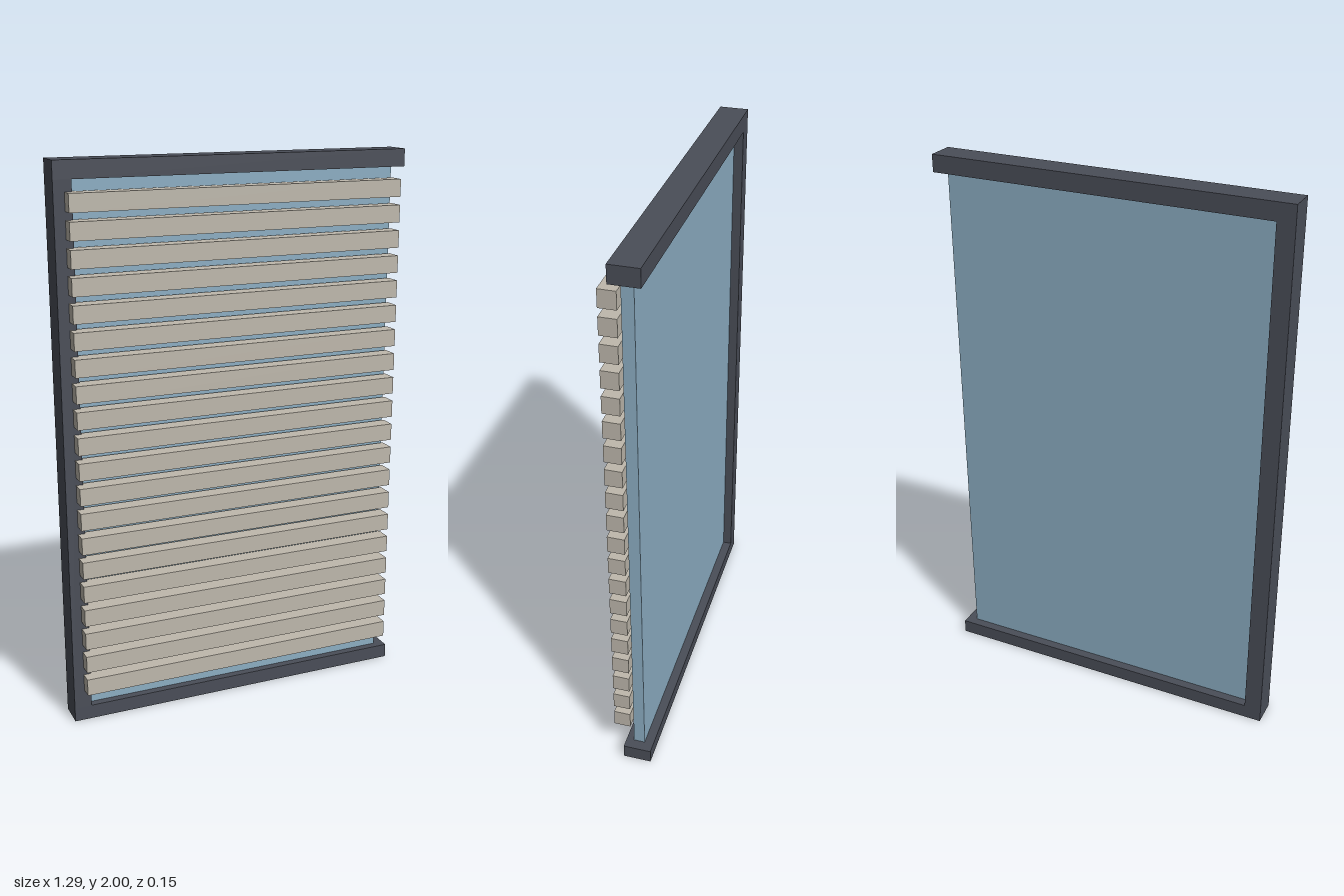
import * as THREE from 'three';

export function createModel() {
  const model = new THREE.Group();
  model.name = 'louvredWindow';

  const paint = (name, color) => {
    const m = new THREE.MeshStandardMaterial({ color });
    m.name = name;
    return m;
  };
  const frameGrey = paint('frameGrey', 0x4a4e58);
  const glassBlue = paint('glassBlue', 0x8dafc4);
  const slatBeige = paint('slatBeige', 0xbfb9ad);

  // Box given by its limits on each axis
  const box = (name, material, [x0, x1], [y0, y1], [z0, z1]) => {
    const mesh = new THREE.Mesh(new THREE.BoxGeometry(x1 - x0, y1 - y0, z1 - z0), material);
    mesh.position.set((x0 + x1) / 2, (y0 + y1) / 2, (z0 + z1) / 2);
    mesh.name = name;
    return mesh;
  };

  // Three-sided frame, open on the model's left
  const depth = [-0.073, 0.028];
  model.add(
    box('topRail', frameGrey, [-0.645, 0.645], [1.938, 2], depth),
    box('bottomRail', frameGrey, [-0.645, 0.645], [0, 0.052], depth),
    box('sidePost', frameGrey, [-0.645, -0.582], [0.052, 1.938], depth),
  );

  // Glass pane
  model.add(box('glassPane', glassBlue, [-0.582, 0.607], [0.052, 1.938], [-0.04, 0]));

  // Horizontal louvre slats in front of the glass
  const slats = new THREE.Group();
  slats.name = 'slats';
  for (let i = 0; i < 20; i++) {
    const y = 0.15 + i * 0.0904;
    slats.add(box('slat', slatBeige, [-0.607, 0.607], [y - 0.031, y + 0.031], [0.013, 0.073]));
  }
  model.add(slats);

  return model;
}
